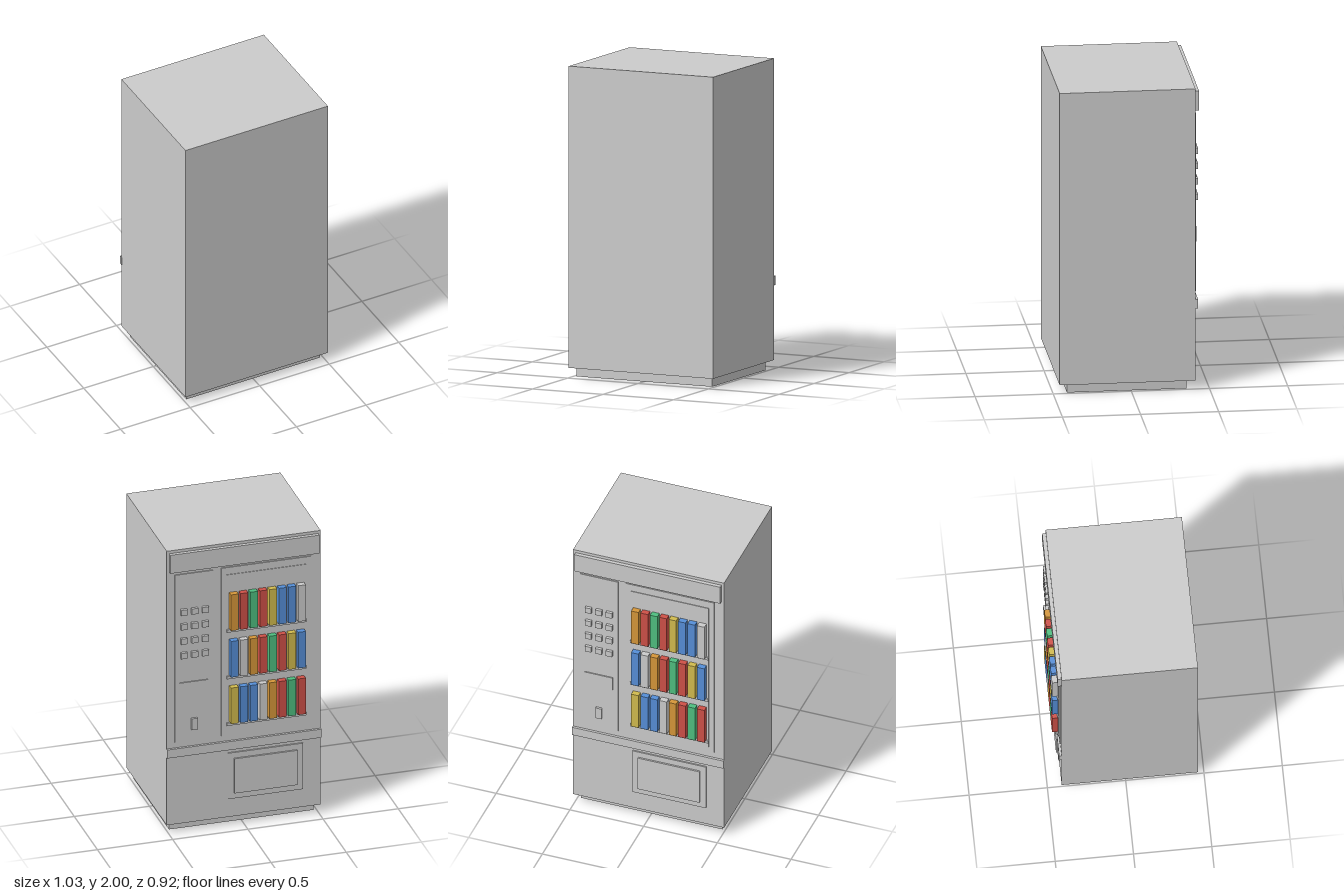
import * as THREE from 'three';

const makeMaterial = (name, color) => {
  const m = new THREE.MeshStandardMaterial({ color });
  m.name = name;
  return m;
};

export function createModel() {
  const model = new THREE.Group();
  model.name = 'vendingMachine';

  const mats = {
    grey: makeMaterial('grey', 0xcccccc),
    blue: makeMaterial('blue', 0x568fd8),
    red: makeMaterial('red', 0xcf5148),
    green: makeMaterial('green', 0x4fbf80),
    yellow: makeMaterial('yellow', 0xd2bb4e),
    orange: makeMaterial('orange', 0xd6973a),
  };

  // box from its bounds on each axis
  const box = (name, [x0, x1], [y0, y1], [z0, z1], mat = mats.grey, parent = model) => {
    const mesh = new THREE.Mesh(new THREE.BoxGeometry(x1 - x0, y1 - y0, z1 - z0), mat);
    mesh.position.set((x0 + x1) / 2, (y0 + y1) / 2, (z0 + z1) / 2);
    mesh.name = name;
    parent.add(mesh);
    return mesh;
  };
  const group = (name) => {
    const g = new THREE.Group();
    g.name = name;
    model.add(g);
    return g;
  };

  // the working face of the cabinet looks towards -z
  const face = -0.41;
  const proud = (depth) => [face - depth, face + 0.005];

  // cabinet
  box('cabinet', [-0.512, 0.512], [0.06, 2], [face, 0.46]);
  box('plinth', [-0.48, 0.48], [0, 0.06], [-0.355, 0.41]);
  box('headerPanel', [-0.495, 0.495], [1.85, 1.98], proud(0.024));
  box('beltStrip', [-0.513, 0.513], [0.54, 0.6], proud(0.016));

  // display window
  box('windowFrame', [-0.446, 0.15], [0.64, 1.83], proud(0.007));
  box('windowPane', [-0.412, 0.118], [0.68, 1.78], proud(0.011));

  // shelves of products, listed from the +x end
  const rows = [
    [1.4, ['orange', 'red', 'green', 'red', 'yellow', 'blue', 'blue', 'grey']],
    [1.07, ['blue', 'grey', 'orange', 'red', 'green', 'red', 'yellow', 'blue']],
    [0.74, ['yellow', 'blue', 'blue', 'grey', 'orange', 'red', 'green', 'red']],
  ];
  const products = group('products');
  for (const [y, colours] of rows) {
    box('shelf', [-0.412, 0.118], [y - 0.025, y - 0.005], proud(0.02));
    colours.forEach((colour, i) => {
      const x = 0.0745 - i * 0.0638;
      box('product', [x - 0.025, x + 0.025], [y, y + 0.255], [-0.46, -0.415], mats[colour], products);
    });
  }

  // control panel with keypad, note slot and coin slot
  box('controlPanel', [0.205, 0.46], [0.64, 1.825], proud(0.007));
  const keypad = group('keypad');
  for (let row = 0; row < 4; row++) {
    for (let col = 0; col < 3; col++) {
      const x = 0.26 + col * 0.071;
      const y = 1.56 - row * 0.102;
      box('key', [x - 0.021, x + 0.021], [y - 0.02, y + 0.02], proud(0.026), mats.grey, keypad);
    }
  }
  box('noteSlot', [0.24, 0.43], [0.96, 1.06], proud(0.014));
  box('coinSlot', [0.312, 0.352], [0.72, 0.8], proud(0.022));

  // delivery hatch
  box('hatchFrame', [-0.392, 0.106], [0.19, 0.515], proud(0.009));
  box('hatchFlap', [-0.352, 0.066], [0.23, 0.475], proud(0.02));

  return model;
}
